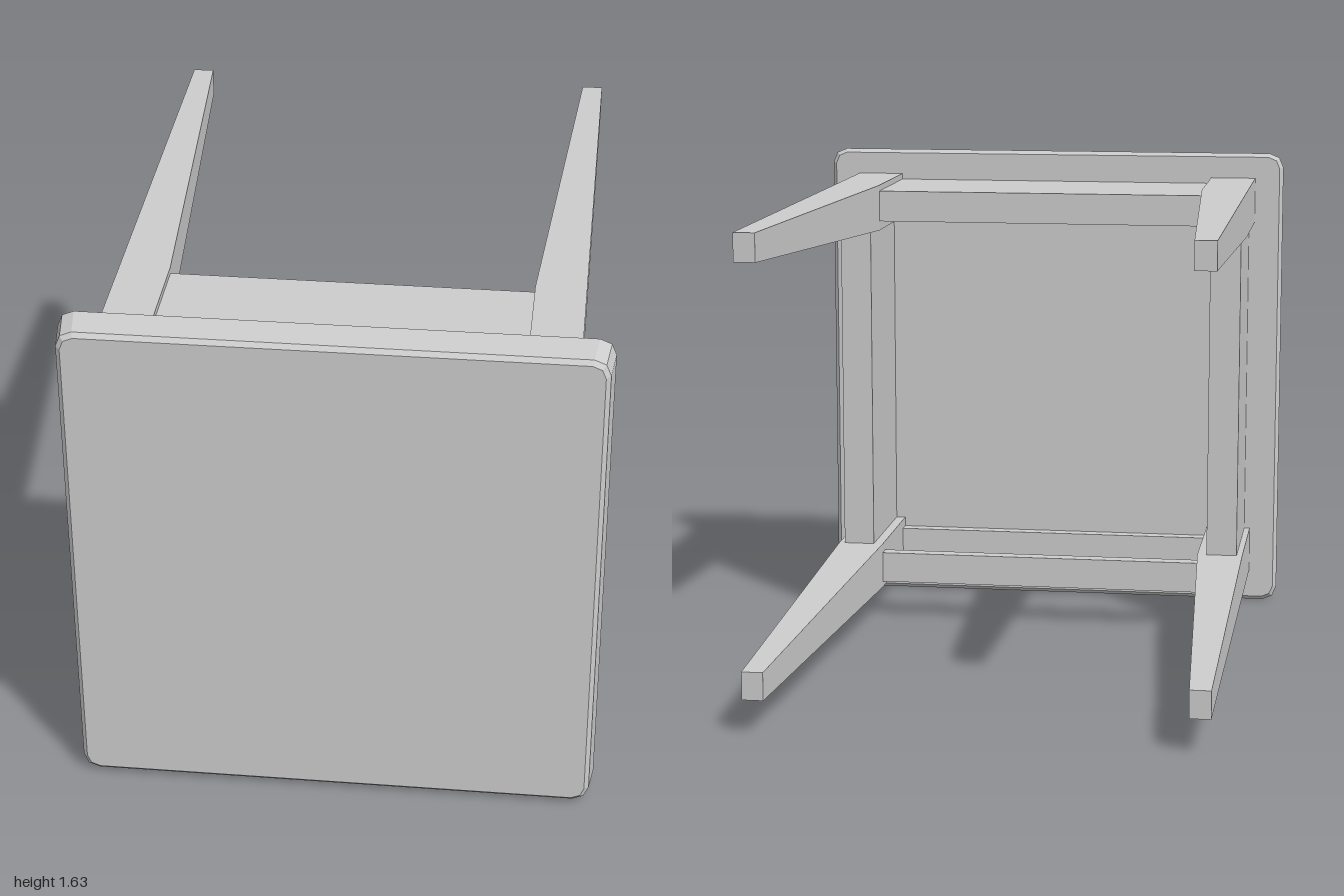
import * as THREE from 'three';

const CY = 0.829;      // height of the frame's centre
const OUT = 0.717;     // outer faces of the legs, from the centre
const IN = 0.56;       // inner faces of the legs, from the centre
const Z_TOP = 0.88;    // underside of the table top
const Z_APRON = 0.44;  // free edge of the aprons

// Flat-shaded closed solid through counter-clockwise rings, ordered by rising z
function loft(rings) {
  const pos = [];
  const n = rings[0].pts.length;
  const put = (ring, i) => pos.push(ring.pts[i % n][0], ring.pts[i % n][1], ring.z);
  for (let k = 0; k + 1 < rings.length; k++) {
    const a = rings[k], b = rings[k + 1];
    for (let i = 0; i < n; i++) {
      put(a, i); put(a, i + 1); put(b, i + 1);
      put(a, i); put(b, i + 1); put(b, i);
    }
  }
  const first = rings[0], last = rings[rings.length - 1];
  for (let i = 1; i < n - 1; i++) {
    put(first, 0); put(first, i + 1); put(first, i);
    put(last, 0); put(last, i); put(last, i + 1);
  }
  const g = new THREE.BufferGeometry();
  g.setAttribute('position', new THREE.Float32BufferAttribute(pos, 3));
  g.computeVertexNormals();
  return g;
}

// Square ring with rounded corners
function roundedSquare(z, half, radius, segments = 2) {
  const pts = [];
  for (let c = 0; c < 4; c++) {
    const mid = Math.PI / 4 + c * Math.PI / 2;
    const cx = Math.sign(Math.cos(mid)) * (half - radius);
    const cy = Math.sign(Math.sin(mid)) * (half - radius);
    for (let s = 0; s <= segments; s++) {
      const a = (c + s / segments) * Math.PI / 2;
      pts.push([cx + radius * Math.cos(a), cy + radius * Math.sin(a)]);
    }
  }
  return { z, pts };
}

// Rectangular leg section, flush with the outer corner given by the signs
function legSection(z, sx, sy, inX, inY) {
  const [x0, x1] = [sx * inX, sx * OUT].sort((a, b) => a - b);
  const [y0, y1] = [sy * inY, sy * OUT].sort((a, b) => a - b);
  return { z, pts: [[x0, y0], [x1, y0], [x1, y1], [x0, y1]] };
}

export function createModel() {
  const model = new THREE.Group();
  model.name = 'tippedTable';
  const grey = new THREE.MeshStandardMaterial({ color: 0xcccccc });
  grey.name = 'plainGrey';

  const add = (name, geometry, x, y, z) => {
    const mesh = new THREE.Mesh(geometry, grey);
    mesh.name = name;
    mesh.position.set(x, y, z);
    model.add(mesh);
  };

  // Table top with eased edges, slightly narrower towards its face
  add('tableTop', loft([
    roundedSquare(0.875, 0.803, 0.04),
    roundedSquare(0.887, 0.816, 0.05),
    roundedSquare(0.987, 0.804, 0.05),
    roundedSquare(1.0, 0.79, 0.04),
  ]), 0, 0.818, 0);

  // Four legs, tapering on their inner faces
  for (const sx of [-1, 1]) for (const sy of [-1, 1]) {
    add('leg', loft([
      legSection(-1, sx, sy, 0.65, 0.628),
      legSection(Z_APRON, sx, sy, IN, IN),
      legSection(Z_TOP, sx, sy, IN, IN),
    ]), 0, CY, 0);
  }

  // Solid aprons on three sides, set back a little from the legs
  const thick = 0.105;
  const offset = OUT - 0.02 - thick / 2;
  const depth = Z_TOP - Z_APRON;
  const zMid = (Z_TOP + Z_APRON) / 2;
  for (const s of [-1, 1]) {
    add('sideApron', new THREE.BoxGeometry(thick, 2 * IN, depth), s * offset, CY, zMid);
  }
  add('backApron', new THREE.BoxGeometry(2 * IN, thick, depth), 0, CY + offset, zMid);

  // Two rails framing the open drawer slot
  const rail = 0.05;
  for (const z of [Z_APRON + rail / 2, Z_TOP - rail / 2]) {
    add('drawerRail', new THREE.BoxGeometry(2 * IN, thick, rail), 0, CY - offset, z);
  }
  return model;
}
